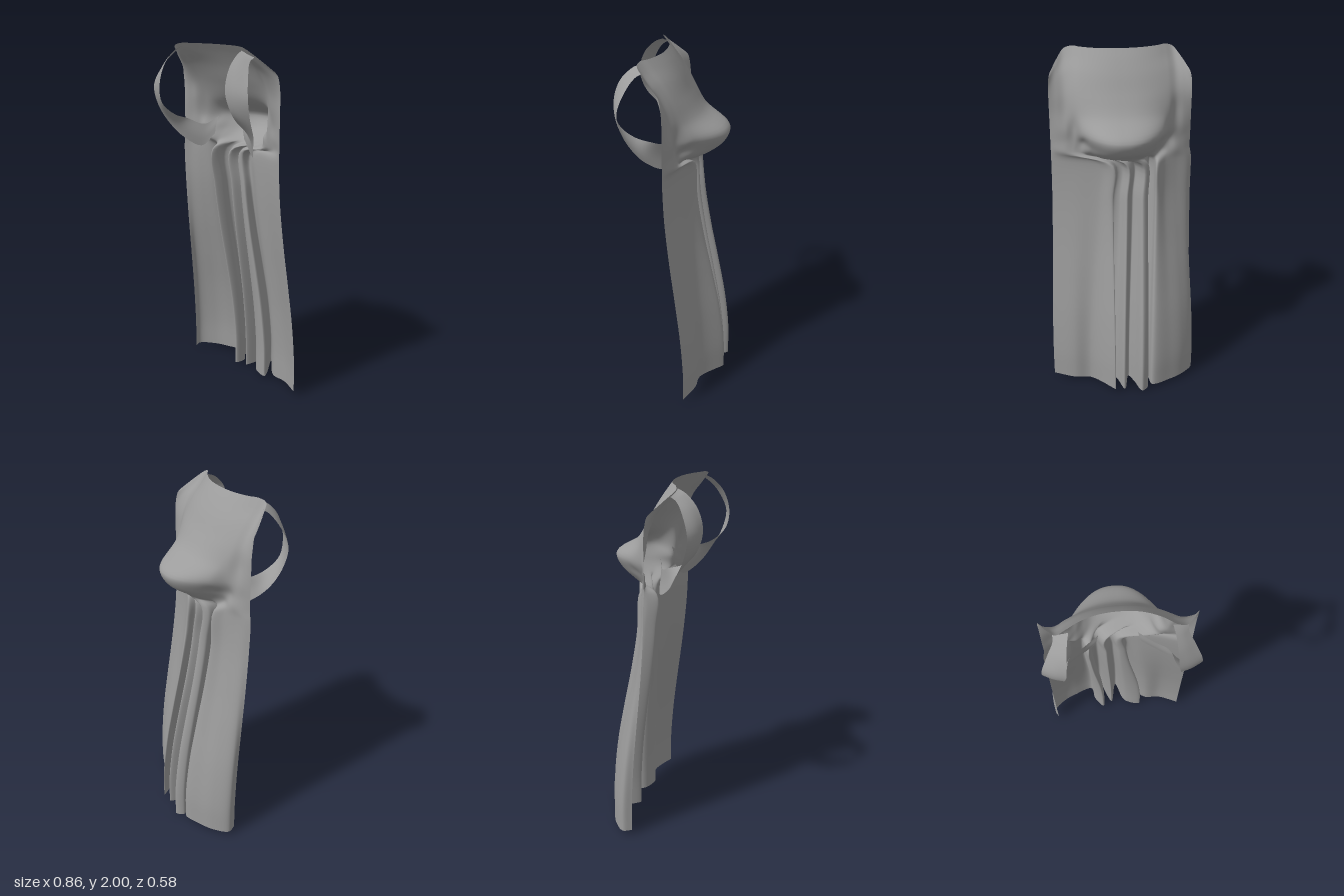
import * as THREE from 'three';

const cloth = new THREE.MeshStandardMaterial({ color: 0x9c9c9c, side: THREE.DoubleSide });
cloth.name = 'greyCloth';

// Smooth sheet through rows of control points; every row has the same count.
function sheet(rows, nu, nv) {
  const across = rows.map(r => {
    const c = new THREE.CatmullRomCurve3(r.map(p => new THREE.Vector3(...p)), false, 'centripetal');
    return Array.from({ length: nu + 1 }, (_, i) => c.getPoint(i / nu));
  });
  const pos = [], idx = [];
  for (let i = 0; i <= nu; i++) {
    const c = new THREE.CatmullRomCurve3(across.map(r => r[i]), false, 'centripetal');
    for (let j = 0; j <= nv; j++) pos.push(...c.getPoint(j / nv).toArray());
  }
  for (let i = 0; i < nu; i++) for (let j = 0; j < nv; j++) {
    const a = i * (nv + 1) + j, b = a + nv + 1;
    idx.push(a, a + 1, b, b, a + 1, b + 1);
  }
  const g = new THREE.BufferGeometry();
  g.setAttribute('position', new THREE.Float32BufferAttribute(pos, 3));
  g.setIndex(idx);
  g.computeVertexNormals();
  return g;
}

// Pleated cross-sections [x, z] at the hem and just under the hood
const hem = [
  [-0.41, -0.06], [-0.43, -0.11], [-0.36, -0.18], [-0.28, -0.22], [-0.165, -0.255],
  [-0.145, -0.18], [-0.09, -0.12], [-0.085, -0.19], [-0.14, -0.25], [-0.1, -0.29],
  [-0.06, -0.2], [-0.03, -0.15], [0.005, -0.275], [0.06, -0.15], [0.165, -0.12],
  [0.06, -0.285], [0.2, -0.16], [0.3, -0.15], [0.425, -0.1]];
const gather = [
  [-0.395, 0.02], [-0.36, 0.0], [-0.3, -0.02], [-0.24, -0.045], [-0.19, -0.08],
  [-0.18, -0.04], [-0.155, 0.01], [-0.14, -0.04], [-0.14, -0.085], [-0.11, -0.105],
  [-0.085, -0.07], [-0.06, -0.045], [-0.025, -0.095], [0.01, -0.05], [0.04, -0.05],
  [0.055, -0.09], [0.13, -0.06], [0.26, -0.02], [0.385, 0.02]];

// Lower drape row: blends the gathered section into the hem
function drapeRow(y) {
  const t = THREE.MathUtils.smoothstep((1.42 - y) / 1.32, 0, 1);
  return hem.map(([x, z], i) => {
    const [gx, gz] = gather[i];
    const lift = y === 0 ? 0.03 * Math.abs(i - 9) / 9 : 0;
    return [THREE.MathUtils.lerp(gx, x, t), y + lift, THREE.MathUtils.lerp(gz, z, t)];
  });
}

// Hood and shoulder row: centre bulge of half-width w, sides sloping down by drop
function hoodRow([y, half, zSide, zMid, w, drop, zEdge]) {
  return hem.map((_, i) => {
    const x = half * (i - 9) / 9, a = Math.abs(x);
    const bump = Math.max(0, 1 - Math.pow(a / (x < 0 ? w * 1.06 : w), 2.3));
    const out = Math.max(0, (a - 0.27) / (half - 0.27));
    const z = zSide + (zMid - zSide) * bump + (zEdge - zSide) * Math.pow(out, 1.5);
    return [x, y - drop * Math.pow(out, 1.4), z];
  });
}

// Arm loop as pairs of inner and outer edge points, front of the shoulder to under the arm
const loop = [
  [[0.235, 1.985, 0.15], [0.31, 1.955, 0.135]],
  [[0.245, 1.965, 0.195], [0.31, 1.935, 0.165]],
  [[0.255, 1.9, 0.258], [0.34, 1.88, 0.205]],
  [[0.265, 1.79, 0.292], [0.38, 1.77, 0.245]],
  [[0.285, 1.68, 0.265], [0.375, 1.66, 0.225]],
  [[0.27, 1.61, 0.19], [0.35, 1.56, 0.175]],
  [[0.25, 1.58, 0.11], [0.29, 1.475, 0.12]],
  [[0.18, 1.55, 0.05], [0.21, 1.42, 0.045]],
  [[0.1, 1.6, 0.01], [0.12, 1.5, 0.02]]];

export function createModel() {
  const group = new THREE.Group();
  group.name = 'cloak';
  const add = (name, geometry) => {
    const m = new THREE.Mesh(geometry, cloth);
    m.name = name;
    group.add(m);
  };

  // Back drape, hanging hood and shoulders as one sheet
  const rows = [0, 0.2, 0.45, 0.7, 0.95, 1.2, 1.4].map(drapeRow);
  const hood = [
    [1.46, 0.385, -0.03, -0.155, 0.19, 0, 0.02],
    [1.52, 0.385, -0.02, -0.24, 0.22, 0, 0.02],
    [1.59, 0.385, -0.02, -0.265, 0.255, 0, 0.02],
    [1.68, 0.385, 0.0, -0.135, 0.28, 0.01, 0.02],
    [1.78, 0.385, 0.025, -0.065, 0.29, 0.03, 0.02],
    [1.88, 0.385, 0.075, -0.01, 0.28, 0.07, 0.025],
    [1.95, 0.38, 0.135, 0.035, 0.275, 0.09, 0.035],
    [2.0, 0.375, 0.17, 0.072, 0.27, 0.12, 0.05]];
  rows.push(...hood.map(hoodRow));
  add('drapeAndHood', sheet(rows, 144, 84));

  // Arm loops, mirrored
  for (const [s, name] of [[1, 'leftArmLoop'], [-1, 'rightArmLoop']]) {
    const bands = loop.map(([a, b]) => {
      const mid = a.map((v, k) => (v + b[k]) / 2 + (k === 2 ? 0.005 : 0));
      return [a, mid, b].map(([x, y, z]) => [s * x, y, z]);
    });
    add(name, sheet(bands, 6, 40));
  }
  return group;
}
